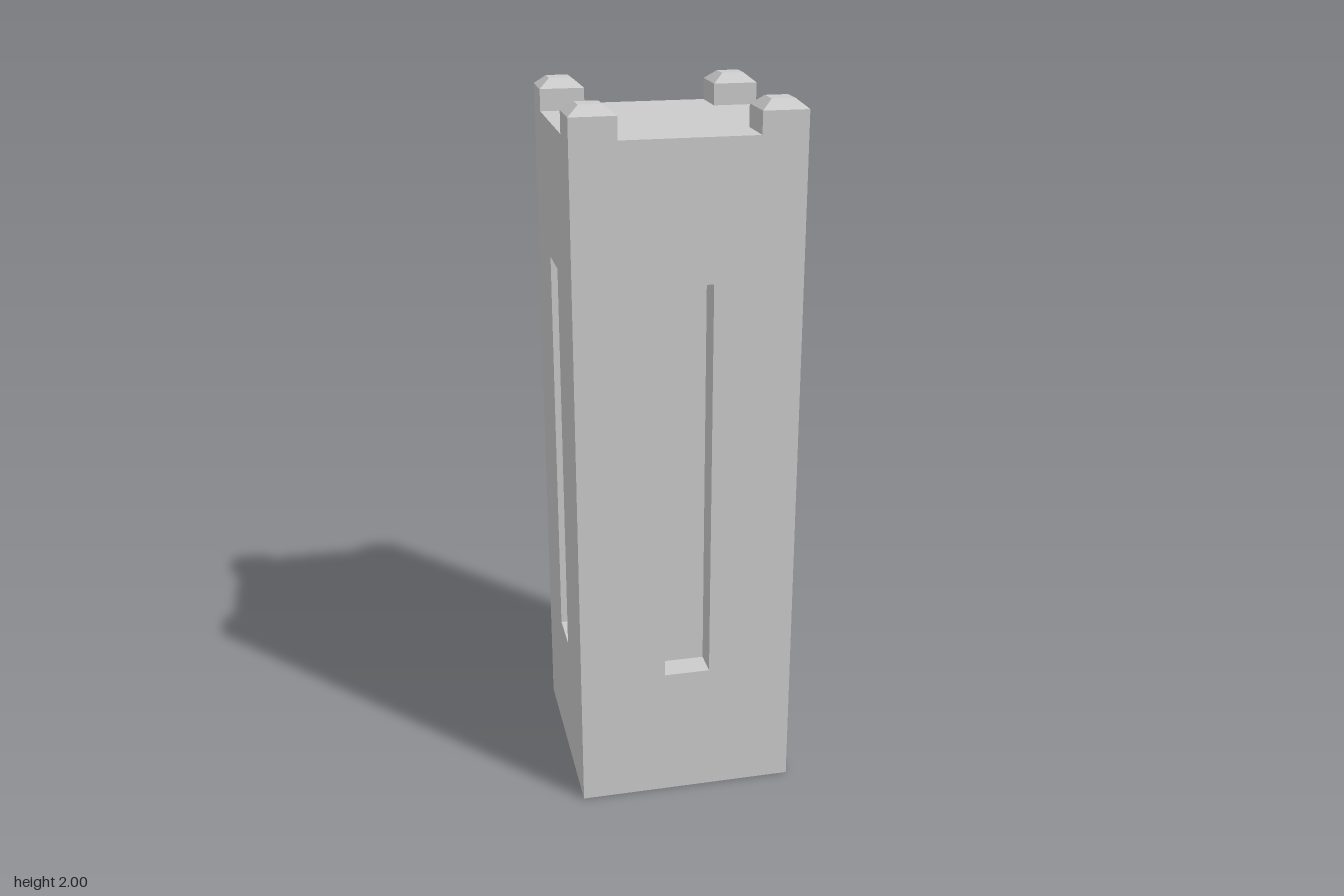
import * as THREE from 'three';

const R = 0.436;              // half diagonal of the square plan
const H = R / Math.SQRT2;     // half width of a wall
const DECK = 1.915;           // roof height
const SLIT = { half: 0.065, bottom: 0.385, top: 1.535, depth: 0.078 };

const material = new THREE.MeshStandardMaterial({ color: 0xcccccc, flatShading: true });

function add(parent, name, geometry, x = 0, y = 0, z = 0) {
  const mesh = new THREE.Mesh(geometry, material);
  mesh.name = name;
  mesh.position.set(x, y, z);
  parent.add(mesh);
  return mesh;
}

// One wall facing +z, with a recessed slit
function createWall() {
  const wall = new THREE.Group();
  wall.name = 'wall';
  const { half, bottom, top, depth } = SLIT;
  const height = top - bottom, mid = (top + bottom) / 2;

  const face = new THREE.Shape([[-H, 0], [H, 0], [H, DECK], [-H, DECK]].map(p => new THREE.Vector2(...p)));
  face.holes.push(new THREE.Path(
    [[-half, bottom], [-half, top], [half, top], [half, bottom]].map(p => new THREE.Vector2(...p))));
  add(wall, 'wallFace', new THREE.ShapeGeometry(face), 0, 0, H);

  // Inside surfaces of the slit
  add(wall, 'slitBack', new THREE.PlaneGeometry(2 * half, height), 0, mid, H - depth);
  for (const s of [-1, 1]) {
    const jamb = new THREE.PlaneGeometry(depth, height).rotateY(-s * Math.PI / 2);
    add(wall, 'slitJamb', jamb, s * half, mid, H - depth / 2);
    const ledge = new THREE.PlaneGeometry(2 * half, depth).rotateX(s * Math.PI / 2);
    add(wall, s > 0 ? 'slitHead' : 'slitSill', ledge, 0, s > 0 ? top : bottom, H - depth / 2);
  }
  return wall;
}

export function createModel() {
  const model = new THREE.Group();
  model.name = 'tower';

  // Four walls, set diagonally to the front
  for (let i = 0; i < 4; i++) {
    const wall = createWall();
    wall.rotation.y = Math.PI / 4 + i * Math.PI / 2;
    model.add(wall);
  }

  // Roof deck and underside
  for (const [name, y, tilt] of [['roofDeck', DECK, -1], ['underside', 0, 1]]) {
    const plane = new THREE.PlaneGeometry(2 * H, 2 * H).rotateX(tilt * Math.PI / 2).rotateY(Math.PI / 4);
    add(model, name, plane, 0, y, 0);
  }

  // Corner merlons with bevelled tops
  const r = R / 5;
  const profile = [[r, 0], [r, 0.06], [r / 2, 0.085], [0, 0.085]].map(p => new THREE.Vector2(...p));
  const merlon = new THREE.LatheGeometry(profile, 4).toNonIndexed();
  merlon.computeVertexNormals();
  for (let i = 0; i < 4; i++) {
    const a = i * Math.PI / 2;
    add(model, 'merlon', merlon, Math.sin(a) * (R - r), DECK, Math.cos(a) * (R - r));
  }
  return model;
}
